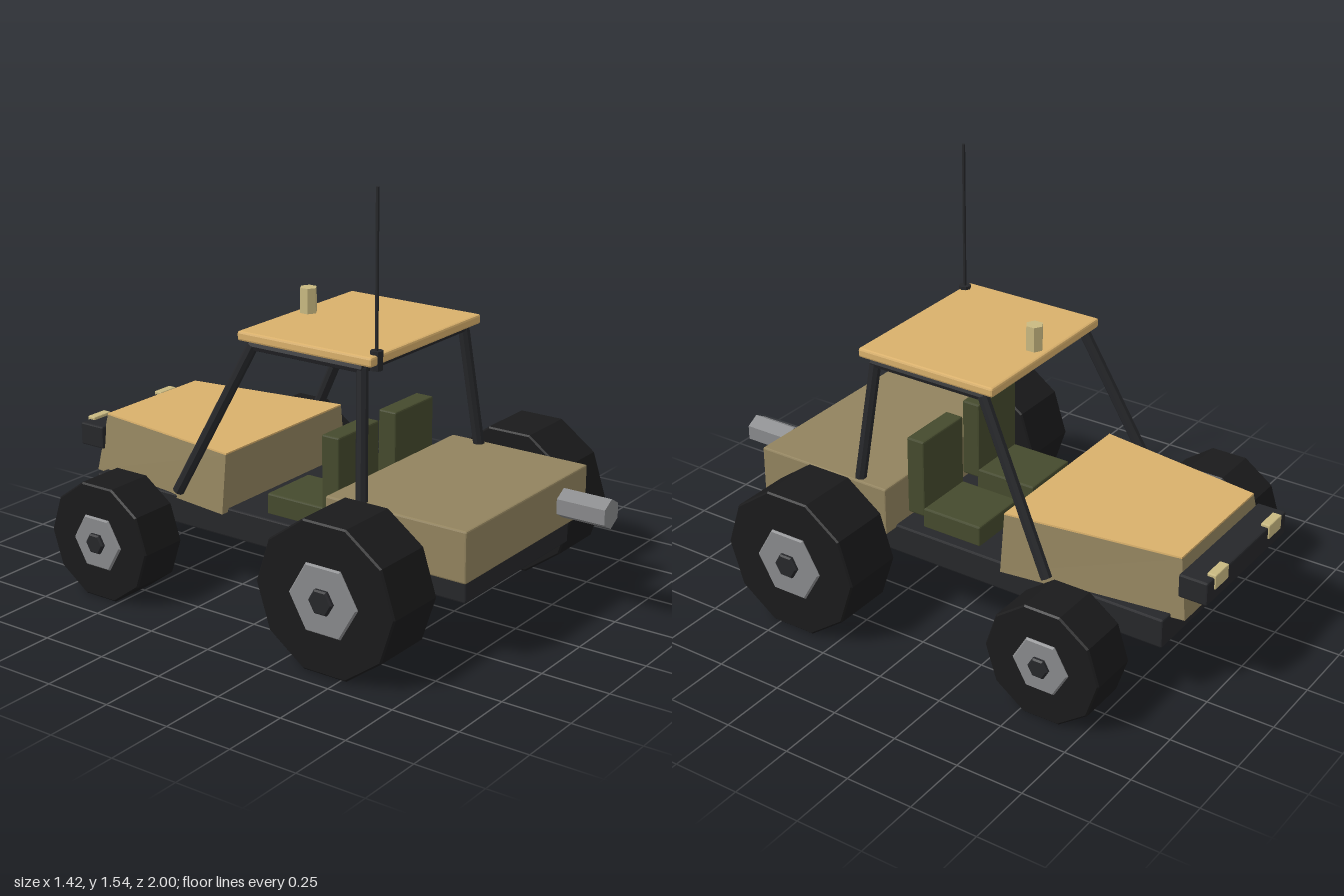
import * as THREE from 'three';
import { RoundedBoxGeometry } from 'three/addons/geometries/RoundedBoxGeometry.js';

const paint = (color) => new THREE.MeshStandardMaterial({ color, flatShading: true });

export function createModel() {
  const model = new THREE.Group();
  const orange = paint(0xd9b06b), tan = paint(0x92835e), dark = paint(0x26272a);
  const rubber = paint(0x1a1a1b), green = paint(0x454a2d), metal = paint(0x88898b), lamp = paint(0xc9b981);

  function add(name, geometry, material, parent = model) {
    const mesh = new THREE.Mesh(geometry, material);
    mesh.name = name;
    parent.add(mesh);
    return mesh;
  }

  // Box with a small bevel, given by its limits on each axis
  function block(name, [x0, x1], [y0, y1], [z0, z1], material, bevel = 0.006) {
    const mesh = add(name, new RoundedBoxGeometry(x1 - x0, y1 - y0, z1 - z0, 1, bevel), material);
    mesh.position.set((x0 + x1) / 2, (y0 + y1) / 2, (z0 + z1) / 2);
    return mesh;
  }

  // Straight round bar between two points
  function bar(name, a, b, radius, material, sides = 8) {
    const from = new THREE.Vector3(...a), to = new THREE.Vector3(...b);
    const dir = to.clone().sub(from);
    const mesh = add(name, new THREE.CylinderGeometry(radius, radius, dir.length(), sides), material);
    mesh.position.copy(from).add(to).multiplyScalar(0.5);
    mesh.quaternion.setFromUnitVectors(new THREE.Vector3(0, 1, 0), dir.normalize());
    return mesh;
  }

  // Faceted disc with chamfered rims, lying along x
  function disc(name, radius, x0, x1, sides, material, parent) {
    const c = 0.006;
    const profile = [[0, x0], [radius - c, x0], [radius, x0 + c], [radius, x1 - c], [radius - c, x1], [0, x1]]
      .map(([r, h]) => new THREE.Vector2(r, h));
    const geometry = new THREE.LatheGeometry(profile, sides).rotateZ(-Math.PI / 2);
    return add(name, geometry, material, parent);
  }

  // Chassis and rear body
  block('chassis', [-0.337, 0.337], [0.22, 0.33], [-0.865, 0.755], dark);
  block('rearBody', [-0.395, 0.395], [0.317, 0.5], [0.23, 0.79], tan);

  // Bonnet: box that narrows upward and toward the nose
  function bonnet(name, y0, y1, material) {
    const geometry = new THREE.BoxGeometry(1, 1, 1);
    const p = geometry.attributes.position;
    for (let i = 0; i < p.count; i++) {
      const y = p.getY(i) > 0 ? y1 : y0;
      const t = (y - 0.317) / 0.22;
      const nose = p.getZ(i) < 0;
      const half = (nose ? 0.278 : 0.37) - t * 0.026;
      p.setXYZ(i, Math.sign(p.getX(i)) * half, y, nose ? -0.915 + t * 0.035 : -0.24);
    }
    geometry.computeVertexNormals();
    add(name, geometry, material);
  }
  bonnet('bonnetBody', 0.317, 0.532, tan);
  bonnet('bonnetLid', 0.532, 0.538, orange);

  // Bumper and headlights
  block('bumper', [-0.28, 0.28], [0.402, 0.489], [-0.994, -0.885], dark);
  for (const x of [-0.19, 0.19]) {
    block('headlight', [x - 0.045, x + 0.045], [0.445, 0.5], [-1, -0.965], lamp, 0.004);
  }

  // Seats
  for (const x of [-0.17, 0.17]) {
    block('seatCushion', [x - 0.12, x + 0.12], [0.325, 0.405], [-0.1, 0.145], green);
    block('seatBack', [x - 0.12, x + 0.12], [0.37, 0.67], [0.137, 0.21], green);
  }

  // Roll cage
  for (const s of [-1, 1]) {
    bar('rearPillar', [s * 0.31, 0.945, 0.32], [s * 0.37, 0.47, 0.362], 0.021, dark);
    bar('frontPillar', [s * 0.315, 0.945, -0.135], [s * 0.378, 0.365, -0.435], 0.021, dark);
    bar('roofRail', [s * 0.312, 0.945, 0.33], [s * 0.312, 0.945, -0.145], 0.02, dark);
  }
  for (const z of [0.32, -0.135]) {
    bar('roofCrossbar', [-0.312, 0.945, z], [0.312, 0.945, z], 0.02, dark);
  }

  // Roof, beacon and antenna
  block('roof', [-0.338, 0.338], [0.958, 0.993], [-0.187, 0.375], orange, 0.008);
  bar('beacon', [0, 0.99, -0.133], [0, 1.085, -0.133], 0.032, lamp, 6);
  bar('antennaBase', [-0.285, 0.938, 0.36], [-0.285, 1.005, 0.36], 0.022, dark);
  bar('antennaMast', [-0.285, 1.0, 0.36], [-0.285, 1.552, 0.36], 0.006, dark);

  // Exhaust pipe
  const exhaust = bar('exhaust', [0.187, 0.427, 0.815], [0.187, 0.427, 1], 0.054, metal, 6);
  exhaust.castShadow = false;

  // Wheels: tyre with a hub and cap passing through it
  const axles = [
    { name: 'rearWheel', y: 0.275, z: 0.437, r: 0.277, x0: 0.444, x1: 0.687, hub: 0.137, cap: 0.048 },
    { name: 'frontWheel', y: 0.219, z: -0.585, r: 0.222, x0: 0.45, x1: 0.642, hub: 0.108, cap: 0.04 },
  ];
  for (const a of axles) {
    for (const s of [-1, 1]) {
      const wheel = new THREE.Group();
      wheel.name = a.name;
      const mid = (a.x0 + a.x1) / 2, half = (a.x1 - a.x0) / 2;
      disc('tyre', a.r, -half, half, 10, rubber, wheel);
      disc('hub', a.hub, -half - 0.009, half + 0.009, 6, metal, wheel);
      disc('hubCap', a.cap, -half - 0.024, half + 0.024, 6, dark, wheel);
      wheel.position.set(s * mid, a.y, a.z);
      model.add(wheel);
    }
  }
  return model;
}
